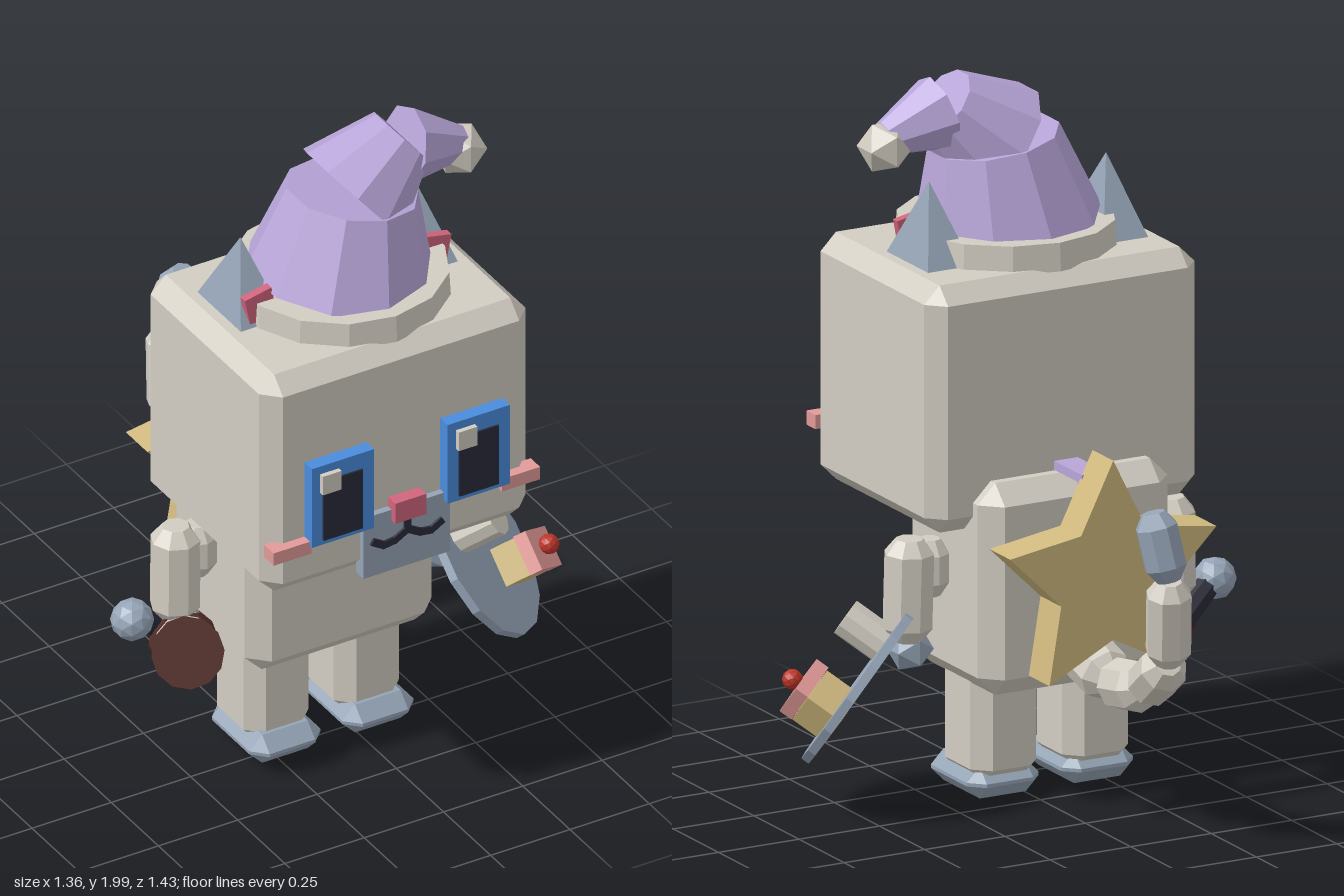
import * as THREE from 'three';
import { ConvexGeometry } from 'three/addons/geometries/ConvexGeometry.js';

const V = (x, y, z) => new THREE.Vector3(x, y, z);
const CX = -0.08; // middle plane of the figure

const colours = {
  cream: 0xd2cdc2, slate: 0x95a4b6, lilac: 0xb8a5d9, blue: 0x4a8cdc, ink: 0x292a38,
  rose: 0xd0657c, blush: 0xe29a98, straw: 0xd2bb80, brown: 0x55302a, red: 0xba3428,
};

export function createModel() {
  const root = new THREE.Group();
  const mats = {};
  for (const [name, color] of Object.entries(colours)) {
    mats[name] = new THREE.MeshStandardMaterial({ color, flatShading: true });
    mats[name].name = name;
  }

  const add = (name, geo, mat, pos, parent = root) => {
    const m = new THREE.Mesh(geo, mats[mat]);
    m.name = name;
    if (pos) m.position.copy(pos);
    parent.add(m);
    return m;
  };
  // Box given by its lower and upper corners
  const box = (name, mat, [x0, y0, z0], [x1, y1, z1]) =>
    add(name, new THREE.BoxGeometry(x1 - x0, y1 - y0, z1 - z0), mat,
      V((x0 + x1) / 2, (y0 + y1) / 2, (z0 + z1) / 2));
  // Box with all its edges cut off
  const chamferBox = (name, mat, [x0, y0, z0], [x1, y1, z1], b) => {
    const h = [(x1 - x0) / 2, (y1 - y0) / 2, (z1 - z0) / 2];
    const pts = [];
    for (const sx of [-1, 1]) for (const sy of [-1, 1]) for (const sz of [-1, 1])
      for (let k = 0; k < 3; k++)
        pts.push(V(...[sx, sy, sz].map((s, i) => s * (i === k ? h[i] : h[i] - b))));
    return add(name, new ConvexGeometry(pts), mat,
      V((x0 + x1) / 2, (y0 + y1) / 2, (z0 + z1) / 2));
  };
  const align = (m, a, b) => {
    m.position.copy(a).add(b).multiplyScalar(0.5);
    m.quaternion.setFromUnitVectors(V(0, 1, 0), b.clone().sub(a).normalize());
    return m;
  };
  // Tapered rod between two points
  const rod = (name, mat, a, b, ra, rb, n = 8) =>
    align(add(name, new THREE.CylinderGeometry(rb, ra, a.distanceTo(b), n), mat), a, b);
  // Rod with narrowed ends
  const link = (name, mat, a, b, r, n = 8) => {
    const h = a.distanceTo(b) / 2, c = Math.min(0.04, h * 0.5);
    const profile = [[0, -h], [r * 0.55, -h], [r, c - h], [r, h - c], [r * 0.55, h], [0, h]];
    return align(add(name, new THREE.LatheGeometry(
      profile.map(([x, y]) => new THREE.Vector2(x, y)), n), mat), a, b);
  };

  // Head and body
  chamferBox('head', 'cream', [-0.5, 0.79, -0.01], [0.34, 1.49, 0.66], 0.048);
  chamferBox('body', 'cream', [-0.375, 0.33, -0.09], [0.215, 0.93, 0.38], 0.055);

  // Eyes share one layout, set side by side
  for (const [side, x] of [['right', -0.385], ['left', 0.043]]) {
    box(side + 'Eye', 'blue', [x, 0.955, 0.65], [x + 0.196, 1.21, 0.7]);
    box(side + 'Pupil', 'ink', [x + 0.034, 0.97, 0.69], [x + 0.158, 1.16, 0.706]);
    box(side + 'EyeGlint', 'cream', [x + 0.026, 1.125, 0.69], [x + 0.085, 1.185, 0.715]);
  }
  // Muzzle, nose and mouth
  box('muzzle', 'slate', [-0.21, 0.785, 0.64], [0.062, 0.98, 0.68]);
  box('nose', 'rose', [-0.122, 0.945, 0.65], [-0.024, 1.01, 0.7]);
  box('lip', 'ink', [-0.084, 0.9, 0.67], [-0.064, 0.945, 0.687]);

  for (const s of [-1, 1]) {
    const side = s > 0 ? 'left' : 'right';
    const X = (d) => CX + s * d;
    const span = (a, b) => [Math.min(X(a), X(b)), Math.max(X(a), X(b))];

    // Mouth curve in three short strokes
    const stroke = [[0, 0.905], [0.04, 0.882], [0.075, 0.877], [0.108, 0.897]];
    for (let i = 0; i < 3; i++) {
      const [a, b] = [stroke[i], stroke[i + 1]];
      const m = add(side + 'Mouth', new THREE.BoxGeometry(
        Math.hypot(b[0] - a[0], b[1] - a[1]) + 0.008, 0.022, 0.017), 'ink',
        V(-0.074 + s * (a[0] + b[0]) / 2, (a[1] + b[1]) / 2, 0.679));
      m.rotation.z = s * Math.atan2(b[1] - a[1], b[0] - a[0]);
    }

    const [c0, c1] = span(0.3, 0.42);
    box(side + 'Cheek', 'blush', [c0, 0.93, 0.64], [c1, 0.97, 0.69]);

    // Ear with inner plate
    const [e0, e1] = span(0.2, 0.345);
    add(side + 'Ear', new ConvexGeometry([V(e0, 1.48, 0.15), V(e1, 1.48, 0.15),
      V(e0, 1.48, 0.39), V(e1, 1.48, 0.39), V(X(0.275), 1.71, 0.27)]), 'slate');
    add(side + 'InnerEar', new THREE.BoxGeometry(0.085, 0.09, 0.025), 'rose',
      V(X(0.275), 1.545, 0.367)).rotation.z = -s * 0.2;

    // Leg and foot
    const [l0, l1] = span(0.04, 0.245);
    chamferBox(side + 'Leg', 'cream', [l0, 0.04, 0.05], [l1, 0.42, 0.28], 0.045);
    const [f0, f1] = span(0.035, 0.258);
    chamferBox(side + 'Foot', 'slate', [f0, 0, 0.05], [f1, 0.09, 0.33], 0.04);

    // Shoulder, arm and paw
    link(side + 'Shoulder', 'cream', V(X(0.34), 0.58, 0.15), V(X(0.34), 0.74, 0.15), 0.055);
    link(side + 'Arm', 'cream', V(X(0.41), 0.46, 0.15), V(X(0.405), 0.75, 0.145), 0.07);
    add(side + 'Paw', new THREE.IcosahedronGeometry(0.065, 0), 'slate', V(X(0.39), 0.43, 0.17));
  }

  // Hat: brim, three leaning cones and a bobble
  rod('hatBrim', 'cream', V(-0.075, 1.48, 0.325), V(-0.075, 1.56, 0.325), 0.305, 0.3, 14);
  rod('hatLower', 'lilac', V(-0.075, 1.54, 0.325), V(-0.035, 1.79, 0.325), 0.265, 0.185, 10);
  rod('hatMiddle', 'lilac', V(-0.035, 1.78, 0.325), V(0.12, 1.91, 0.325), 0.18, 0.1, 10);
  rod('hatTip', 'lilac', V(0.13, 1.88, 0.325), V(0.3, 1.83, 0.325), 0.11, 0.05, 8);
  add('hatBobble', new THREE.IcosahedronGeometry(0.078, 0), 'cream', V(0.3, 1.81, 0.325));

  // Tail in a chain of links
  const tail = [V(-0.08, 0.45, -0.04), V(-0.08, 0.39, -0.26), V(-0.075, 0.425, -0.45),
    V(-0.055, 0.54, -0.61), V(-0.03, 0.79, -0.66), V(0.0, 0.98, -0.625)];
  for (let i = 0; i < 4; i++) link('tailLink', 'cream', tail[i], tail[i + 1], 0.076 - i * 0.004);
  link('tailTip', 'slate', tail[4], tail[5], 0.06);

  // Star on the back, held by a bent strap
  const star = new THREE.Shape();
  for (let i = 0; i < 10; i++) {
    const r = i % 2 ? 0.17 : 0.337, a = Math.PI / 2 + i * Math.PI / 5;
    star[i ? 'lineTo' : 'moveTo'](r * Math.cos(a), r * Math.sin(a));
  }
  star.closePath();
  add('star', new THREE.ExtrudeGeometry(star, { depth: 0.115, bevelEnabled: false }), 'straw',
    V(-0.075, 0.684, -0.27));
  box('strapTop', 'lilac', [-0.11, 0.932, -0.165], [-0.037, 0.957, 0.02]);
  box('strapDrop', 'lilac', [-0.11, 0.845, -0.165], [-0.037, 0.935, -0.14]);

  // Disc tray in the left paw; its local z points out of the face
  const tray = new THREE.Group();
  tray.name = 'tray';
  const n = V(0.63, 0.56, 0.53).normalize();
  const up = V(-0.05, 0.73, -0.68).projectOnPlane(n).normalize();
  tray.quaternion.setFromRotationMatrix(
    new THREE.Matrix4().makeBasis(up.clone().cross(n), up, n));
  tray.position.set(0.475, 0.35, 0.16);
  root.add(tray);
  const local = (x, y, z) => V(x, y, z).sub(tray.position)
    .applyQuaternion(tray.quaternion.clone().invert());
  const plate = add('disc', new THREE.CylinderGeometry(0.25, 0.25, 0.025, 14), 'slate', V(0, 0, 0), tray);
  plate.rotation.x = Math.PI / 2;
  const stub = add('trayKnob', new THREE.CylinderGeometry(0.055, 0.055, 0.13, 10), 'cream',
    local(0.425, 0.485, 0.215), tray);
  stub.rotation.x = Math.PI / 2;
  add('cake', new THREE.BoxGeometry(0.12, 0.11, 0.11), 'straw', local(0.565, 0.3, 0.18), tray);
  add('icing', new THREE.BoxGeometry(0.13, 0.115, 0.04), 'blush', local(0.61, 0.345, 0.222), tray);
  add('cherry', new THREE.IcosahedronGeometry(0.029, 1), 'red', local(0.634, 0.371, 0.243), tray);

  // Mallet in the right paw
  const front = V(-0.55, 0.455, 0.32), back = V(-0.475, 0.385, 0.17);
  const along = (t) => front.clone().lerp(back, t);
  rod('malletFront', 'brown', along(0), along(0.4), 0.1, 0.09, 12);
  rod('malletBand', 'cream', along(0.4), along(0.65), 0.085, 0.085, 12);
  rod('malletBack', 'brown', along(0.65), along(1), 0.09, 0.095, 12);
  rod('malletHandle', 'ink', V(-0.62, 0.5, 0.145), V(-0.46, 0.38, 0.09), 0.035, 0.04, 8);
  add('malletPommel', new THREE.IcosahedronGeometry(0.06, 1), 'slate', V(-0.625, 0.495, 0.15));

  return root;
}
